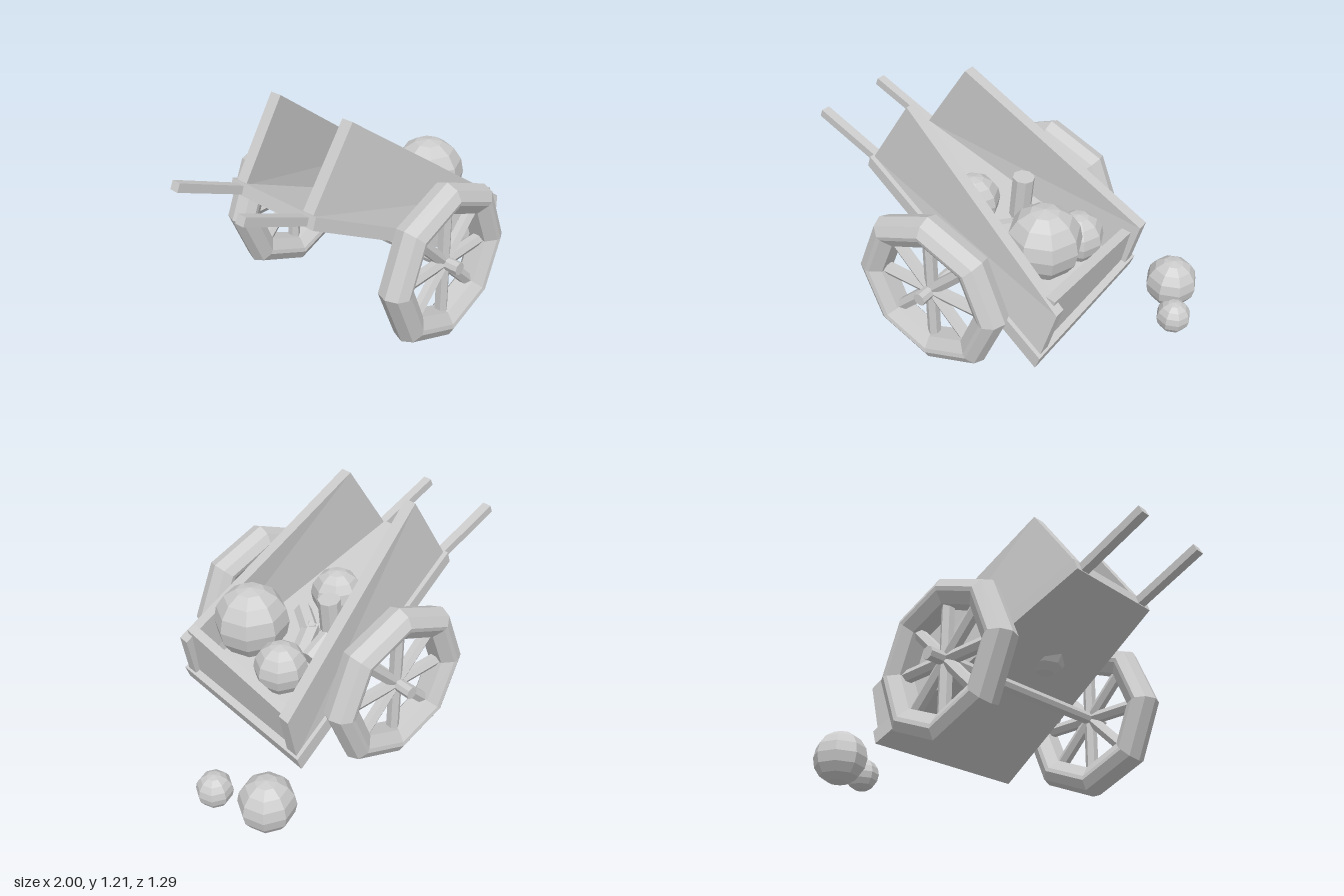
import * as THREE from 'three';

export function createModel() {
  const cart = new THREE.Group();
  cart.name = 'handcart';
  const material = new THREE.MeshStandardMaterial({ color: 0xcccccc, flatShading: true });

  function add(name, geometry, parent = cart) {
    const mesh = new THREE.Mesh(geometry, material);
    mesh.name = name;
    parent.add(mesh);
    return mesh;
  }

  // Board with six flat faces: near (+z) and far (-z) quads, counterclockwise seen from +z
  function board(name, near, far) {
    const pos = [];
    const quad = (a, b, c, d) => pos.push(...a, ...b, ...c, ...a, ...c, ...d);
    quad(...near);
    quad(far[3], far[2], far[1], far[0]);
    for (let i = 0; i < 4; i++) {
      const j = (i + 1) % 4;
      quad(near[i], far[i], far[j], near[j]);
    }
    const g = new THREE.BufferGeometry();
    g.setAttribute('position', new THREE.Float32BufferAttribute(pos, 3));
    g.computeVertexNormals();
    return add(name, g);
  }

  // Plank given by side outline corners [x, y, zNear, zFar]
  const plank = (name, pts) =>
    board(name, pts.map(([x, y, n]) => [x, y, n]), pts.map(([x, y, , f]) => [x, y, f]));

  // Straight round bar between two points
  function rod(name, from, to, radius, sides, parent) {
    const a = new THREE.Vector3(...from), b = new THREE.Vector3(...to);
    const dir = b.clone().sub(a);
    const mesh = add(name, new THREE.CylinderGeometry(radius, radius, dir.length(), sides), parent);
    mesh.position.copy(a).add(b).multiplyScalar(0.5);
    mesh.quaternion.setFromUnitVectors(new THREE.Vector3(0, 1, 0), dir.normalize());
    return mesh;
  }

  // Tilted, tapering cart bed
  plank('floor', [
    [-0.645, 0.785, 0.28, -0.28], [0.54, 0.178, 0.482, -0.472],
    [0.565, 0.25, 0.482, -0.472], [-0.625, 0.845, 0.28, -0.28],
  ]);
  plank('leftSide', [
    [-0.62, 0.835, 0.255, 0.19], [0.55, 0.24, 0.46, 0.395],
    [0.61, 0.5, 0.42, 0.36], [-0.365, 1.21, 0.262, 0.2],
  ]);
  plank('rightSide', [
    [-0.62, 0.835, -0.19, -0.255], [0.55, 0.24, -0.38, -0.45],
    [0.61, 0.5, -0.4, -0.465], [-0.365, 1.21, -0.2, -0.265],
  ]);
  board('endBoard',
    [[0.48, 0.27, 0.385], [0.53, 0.26, 0.385], [0.58, 0.55, 0.39], [0.53, 0.56, 0.39]],
    [[0.48, 0.27, -0.38], [0.53, 0.26, -0.38], [0.564, 0.46, -0.39], [0.514, 0.47, -0.39]]);

  // Handles
  for (const z of [0.215, -0.222]) {
    plank('handle', [
      [-1, 0.945, z + 0.025, z - 0.025], [-0.6, 0.772, z + 0.025, z - 0.025],
      [-0.58, 0.81, z + 0.025, z - 0.025], [-0.982, 0.985, z + 0.025, z - 0.025],
    ]);
  }

  // Wheels: eight-sided bevelled rim with eight spokes
  const half = [[0.437, 0], [0.415, 0.06], [0.365, 0.087], [0.342, 0.082], [0.285, 0.045]];
  const profile = [
    ...half.slice(1).reverse().map(([r, h]) => [r, -h]),
    ...half,
    [0.285, -0.045],
  ].map(([r, h]) => new THREE.Vector2(r, h));
  for (const [name, z] of [['leftWheel', 0.545], ['rightWheel', -0.517]]) {
    const wheel = new THREE.Group();
    wheel.name = name;
    wheel.position.set(-0.027, 0.44, z);
    cart.add(wheel);
    add('rim', new THREE.LatheGeometry(profile, 8), wheel).rotation.x = Math.PI / 2;
    for (let i = 0; i < 8; i++) {
      const a = (i * Math.PI) / 4;
      rod('spoke', [0, 0, 0], [0.31 * Math.cos(a), 0.31 * Math.sin(a), 0], 0.034, 6, wheel);
    }
  }
  rod('axle', [-0.027, 0.44, -0.633], [-0.027, 0.44, 0.645], 0.034, 8);

  // Round produce in the cart and on the ground: x, y, z, radius
  const rounds = [
    [0.353, 0.645, 0.135, 0.192], [0.387, 0.52, -0.137, 0.136], [-0.138, 0.645, 0.043, 0.137],
    [0.778, 0.148, -0.51, 0.14], [0.907, 0.14, -0.274, 0.09],
  ];
  for (const [x, y, z, r] of rounds) {
    add('roundProduce', new THREE.SphereGeometry(r, 8, 8)).position.set(x, y, z);
  }

  // Upright stub with a lower leg, and a bent branch lying in the bed
  rod('stub', [0.035, 0.5, -0.122], [0.06, 0.767, -0.12], 0.058, 8);
  rod('stubLeg', [0.05, 0.56, -0.125], [0.22, 0.49, -0.15], 0.05, 8);
  rod('branch', [0.02, 0.56, 0.135], [0.095, 0.53, -0.015], 0.048, 6);
  rod('branch', [0.065, 0.54, 0.01], [0.29, 0.44, -0.11], 0.048, 6);

  return cart;
}
